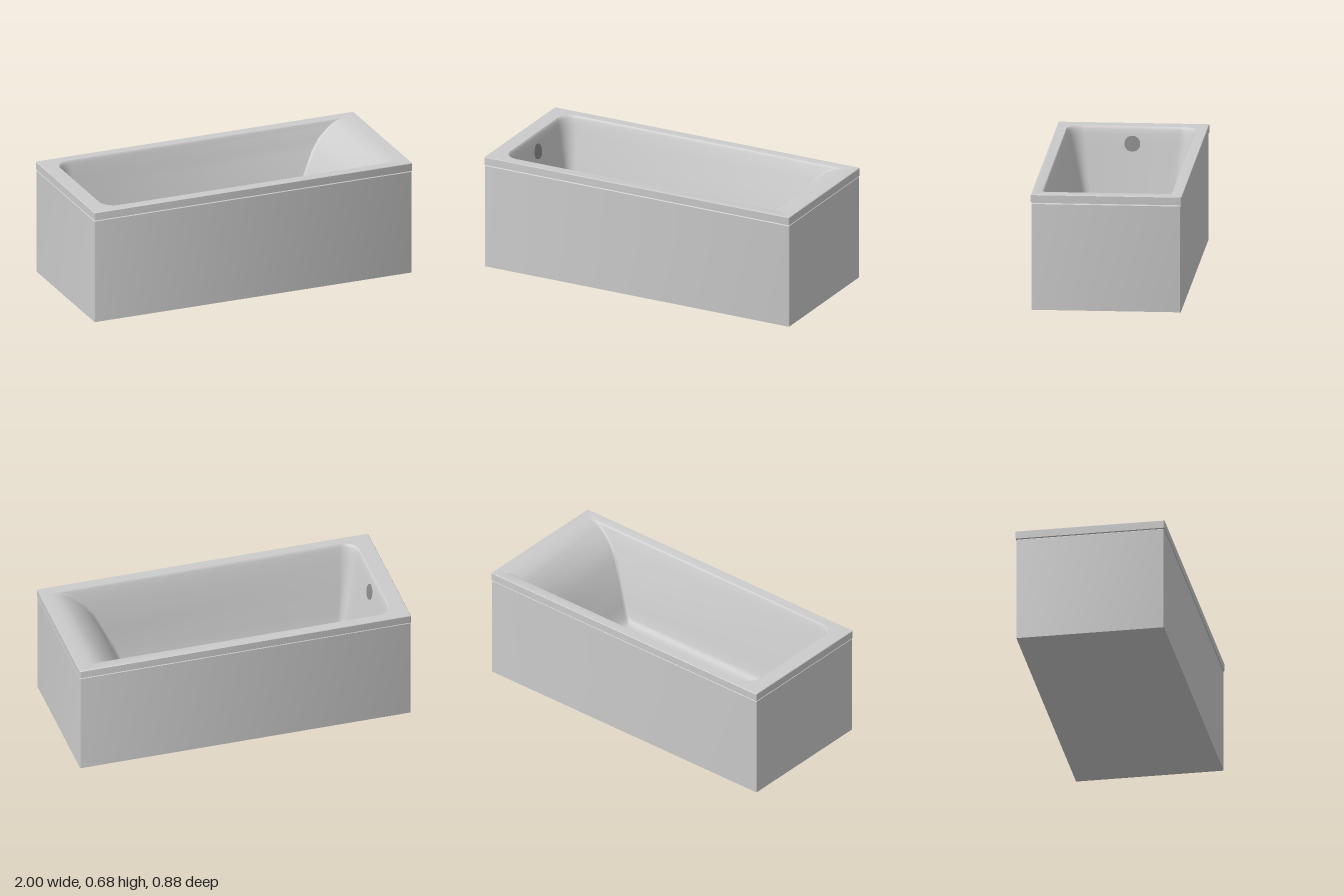
import * as THREE from 'three';
import { toCreasedNormals } from 'three/addons/utils/BufferGeometryUtils.js';

const STEPS = 8; // segments per rounded corner

// Rounded rectangle at height y, counter-clockwise from above.
// rL / rR are the corner radii at the -x and +x ends.
function ring([y, x0, x1, z, rL, rR]) {
  const points = [];
  for (let q = 0; q < 4; q++) {
    const left = q === 1 || q === 2;
    const r = left ? rL : rR;
    const cx = left ? x0 + r : x1 - r;
    const cz = (q < 2 ? -1 : 1) * (z - r);
    for (let i = 0; i <= STEPS; i++) {
      const a = (q + i / STEPS) * Math.PI / 2;
      points.push([cx + r * Math.cos(a), y, cz - r * Math.sin(a)]);
    }
  }
  return points;
}

// Skin over a sequence of rings; either end can be closed with a flat cap.
function loft(rows, capStart, capEnd) {
  const rings = rows.map(ring);
  const n = rings[0].length;
  const position = rings.flat(2);
  const index = [];
  for (let k = 0; k < rings.length - 1; k++) {
    for (let j = 0; j < n; j++) {
      const a = k * n + j, b = k * n + (j + 1) % n;
      index.push(a, b, b + n, a, b + n, a + n);
    }
  }
  const cap = (k, flip) => {
    const [y, x0, x1] = rows[k];
    const centre = position.length / 3;
    position.push((x0 + x1) / 2, y, 0);
    for (let j = 0; j < n; j++) {
      const a = k * n + j, b = k * n + (j + 1) % n;
      if (flip) index.push(b, a, centre);
      else index.push(a, b, centre);
    }
  };
  if (capStart) cap(0, true);
  if (capEnd) cap(rows.length - 1, false);
  const geometry = new THREE.BufferGeometry();
  geometry.setAttribute('position', new THREE.Float32BufferAttribute(position, 3));
  geometry.setIndex(index);
  return toCreasedNormals(geometry, 0.6);
}

export function createModel() {
  const group = new THREE.Group();
  const grey = new THREE.MeshStandardMaterial({ color: 0xcccccc });
  const dark = new THREE.MeshStandardMaterial({ color: 0x8a8a8a });
  const add = (name, geometry, material) => {
    const mesh = new THREE.Mesh(geometry, material);
    mesh.name = name;
    group.add(mesh);
    return mesh;
  };

  // Outer panels with closed underside, open at the top
  add('apron', loft([
    [0, -0.998, 0.998, 0.434, 0.005, 0.005],
    [0.627, -0.998, 0.998, 0.434, 0.005, 0.005],
    [0.631, -0.994, 0.994, 0.43, 0.005, 0.005],
    [0.631, -0.96, 0.96, 0.4, 0.005, 0.005],
  ], true, false), grey);

  // Rim and basin in one skin: lip underside, lip, deck, walls, floor.
  // The +x end is the long sloping backrest.
  add('rimAndBasin', loft([
    [0.635, -0.96, 0.96, 0.4, 0.005, 0.005],
    [0.635, -1, 1, 0.438, 0.006, 0.006],
    [0.68, -1, 1, 0.438, 0.006, 0.006],
    [0.683, -0.997, 0.997, 0.435, 0.006, 0.006],
    [0.683, -0.908, 0.93, 0.378, 0.09, 0.02],
    [0.678, -0.903, 0.895, 0.374, 0.09, 0.02],
    [0.667, -0.898, 0.86, 0.37, 0.09, 0.02],
    [0.64, -0.891, 0.815, 0.362, 0.088, 0.02],
    [0.59, -0.881, 0.755, 0.35, 0.08, 0.02],
    [0.52, -0.867, 0.7, 0.333, 0.07, 0.02],
    [0.40, -0.843, 0.64, 0.306, 0.055, 0.02],
    [0.28, -0.819, 0.585, 0.28, 0.045, 0.02],
    [0.215, -0.806, 0.557, 0.266, 0.04, 0.02],
    [0.195, -0.799, 0.543, 0.259, 0.035, 0.02],
    [0.184, -0.788, 0.528, 0.248, 0.03, 0.02],
    [0.18, -0.77, 0.505, 0.23, 0.025, 0.02],
  ], false, true), grey);

  // Drain in the floor
  const fitting = new THREE.CylinderGeometry(0.046, 0.046, 0.006, 32);
  add('drain', fitting, dark).position.set(-0.66, 0.18, 0);

  // Overflow plate, square to the sloping -x wall
  const overflow = add('overflow', fitting, dark);
  overflow.position.set(-0.88, 0.585, 0);
  overflow.rotation.z = -(Math.PI / 2 - 0.2);

  return group;
}
